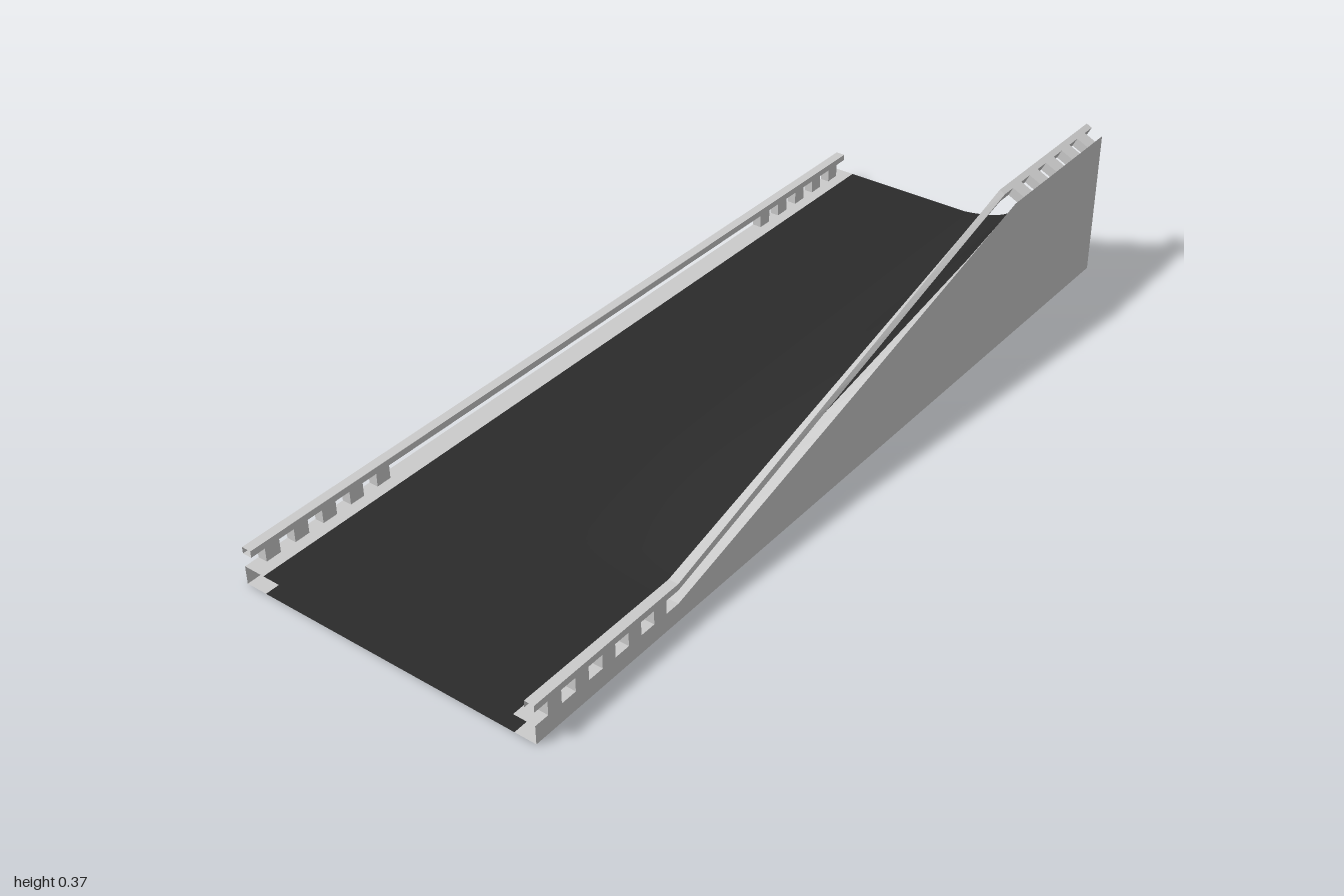
import * as THREE from 'three';

const W = 0.36, H = 0.042, CURB = 0.05;          // half width, deck height, curb width
const RAIL_W = 0.0225, RAIL_LO = 0.031, RAIL_HI = 0.046;
const BANK = THREE.MathUtils.degToRad(64), BANK_TOP = 0.35;

const grey = new THREE.MeshStandardMaterial({ color: 0xcccccc, side: THREE.DoubleSide });
const black = new THREE.MeshStandardMaterial({ color: 0x2b2b2b, side: THREE.DoubleSide });

// Stations along the track: flat at the front, banked at the back
const stations = [1];
for (let i = 0; i <= 16; i++) stations.push(0.6 - 1.2 * i / 16);
stations.push(-1);

const lerp = THREE.MathUtils.lerp;
const bankAt = z => THREE.MathUtils.clamp((0.6 - z) / 1.2, 0, 1);

// Point on the banked side: u inward from the outer edge, v above the curb
function bankedPoint(u, v, t) {
  const c = Math.cos(BANK), s = Math.sin(BANK);
  return [lerp(W - u, W - u * c - v * s, t), lerp(H + v, BANK_TOP - u * s + v * c, t)];
}
const flatPoint = (u, v) => [u - W, H + v];

// Sweeps section(z), a list of [x, y], through the given stations
function sweep(name, section, zs, material, { closed = false, caps = false, smooth = false } = {}) {
  const pos = [], index = [], n = section(zs[0]).length;
  for (const z of zs) for (const [x, y] of section(z)) pos.push(x, y, z);
  for (let r = 0; r < zs.length - 1; r++) {
    for (let j = 0; j < (closed ? n : n - 1); j++) {
      const k = (j + 1) % n, a = r * n + j, b = r * n + k;
      index.push(a, b, b + n, a, b + n, a + n);
    }
  }
  if (caps) {
    const e = (zs.length - 1) * n;
    index.push(0, 2, 1, 0, 3, 2, e, e + 1, e + 2, e, e + 2, e + 3);
  }
  let geo = new THREE.BufferGeometry();
  geo.setAttribute('position', new THREE.Float32BufferAttribute(pos, 3));
  geo.setIndex(index);
  if (!smooth) geo = geo.toNonIndexed();
  geo.computeVertexNormals();
  const mesh = new THREE.Mesh(geo, material);
  mesh.name = name;
  return mesh;
}

// Road cross-section at full bank; the flat one spreads the same points evenly
const bankCurve = new THREE.SplineCurve([
  [0.02, H], [0.06, 0.048], [0.1, 0.058], [0.135, 0.073], [0.165, 0.098],
  [0.2, 0.135], [0.24, 0.18], [0.28, 0.226], [0.31, 0.27], bankedPoint(CURB, 0, 1),
].map(p => new THREE.Vector2(...p))).getSpacedPoints(20);

function roadSection(z) {
  const t = bankAt(z);
  return [[CURB - W, H], ...bankCurve.map((p, i) => [
    lerp(lerp(0.02, W - CURB, i / 20), p.x, t), lerp(H, p.y, t)])];
}

// Rail or post cross-section, clockwise seen from the front
function barSection(side, z, lo, hi) {
  const corners = [[RAIL_W, hi], [0, hi], [0, lo], [RAIL_W, lo]];
  return side > 0
    ? corners.map(([u, v]) => bankedPoint(u, v, bankAt(z)))
    : corners.reverse().map(([u, v]) => flatPoint(u, v));
}

export function createModel() {
  const model = new THREE.Group();
  model.name = 'bankedTrack';

  // Road deck and floor, open at both ends
  model.add(sweep('roadSurface', roadSection, stations, black, { smooth: true }));
  model.add(sweep('floor', () => [[W - CURB, 0], [CURB - W, 0]], [1, -1], black));

  // Curbs with outer walls and bottom strips
  model.add(sweep('bankedCurbAndWall', z => [
    bankedPoint(CURB, 0, bankAt(z)), bankedPoint(0, 0, bankAt(z)), [W, 0], [W - CURB, 0],
  ], stations, grey));
  model.add(sweep('flatCurbAndWall', () => [
    [CURB - W, 0], [-W, 0], [-W, H], [CURB - W, H],
  ], [1, -1], grey));

  // Guard rails, each held by five posts at either end
  for (const side of [1, -1]) {
    const guard = new THREE.Group();
    guard.name = side > 0 ? 'leftGuardRail' : 'rightGuardRail';
    guard.add(sweep('rail', z => barSection(side, z, RAIL_LO, RAIL_HI), stations, grey, { closed: true }));
    for (const end of [1, -1]) {
      for (let i = 0; i < 5; i++) {
        const outer = end * (0.966 - i * 0.0735), inner = outer - end * 0.036;
        guard.add(sweep('post', z => barSection(side, z, 0, RAIL_LO),
          [Math.max(outer, inner), Math.min(outer, inner)], grey, { closed: true, caps: true }));
      }
    }
    model.add(guard);
  }
  return model;
}
